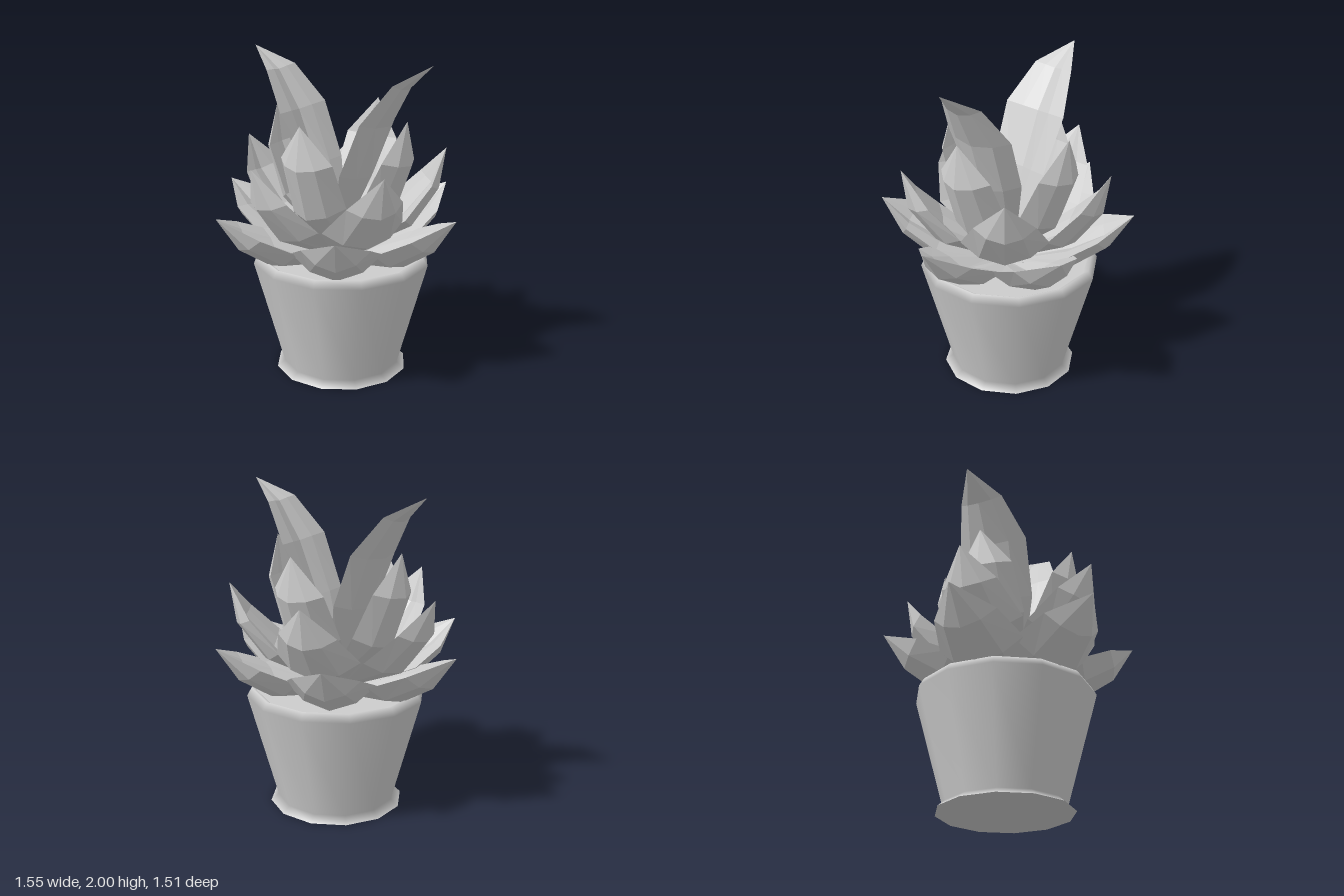
import * as THREE from 'three';

// Leaf cross-section: [across, normal], edge - keel - edge - folded groove
const SECTION = [[-1, 0.15], [-0.58, -0.62], [0, -1], [0.58, -0.62], [1, 0.15],
  [0.45, 0], [0, -0.3], [-0.45, 0]];

// Each station is [radius, height, half width, thickness] from root to tip;
// each leaf is [angle in degrees, reach factor]
const TIERS = [
  {
    name: 'outerLeaf', leaves: [[-17, 1.02], [-74, 1], [227, 1.08], [167, 1.01], [104, 0.985], [42, 1]],
    stations: [[0.06, 0.75, 0.1, 0.04], [0.4, 0.88, 0.27, 0.14], [0.6, 0.98, 0.2, 0.11], [0.79, 1.1, 0, 0]],
  },
  {
    name: 'middleLeaf', leaves: [[6, 1.01], [79, 0.97], [154, 0.97], [228, 1.07], [298, 1.01]],
    stations: [[0.04, 0.8, 0.1, 0.05], [0.38, 1.03, 0.262, 0.12], [0.55, 1.22, 0.18, 0.09], [0.66, 1.42, 0, 0]],
  },
  {
    name: 'innerLeaf', leaves: [[42, 1], [135, 0.9], [227, 1], [315, 1.02]],
    stations: [[0.03, 0.85, 0.1, 0.05], [0.27, 1.14, 0.2, 0.13], [0.4, 1.43, 0.18, 0.1], [0.46, 1.66, 0, 0]],
  },
  {
    name: 'tallLeaf', leaves: [[41, 0.99], [228, 1.02]],
    stations: [[0.01, 0.95, 0.09, 0.05], [0.13, 1.32, 0.2, 0.1], [0.27, 1.65, 0.225, 0.08],
      [0.43, 1.88, 0.14, 0.05], [0.62, 2, 0, 0]],
  },
];

// Faceted leaf lofted along a rising path that points to +x
function leafGeometry(stations) {
  const positions = [], index = [], n = SECTION.length;
  stations.forEach(([r, y, w, d], i) => {
    const a = stations[Math.max(i - 1, 0)];
    const b = stations[Math.min(i + 1, stations.length - 1)];
    const len = Math.hypot(b[0] - a[0], b[1] - a[1]);
    const nx = -(b[1] - a[1]) / len, ny = (b[0] - a[0]) / len;
    for (const [u, v] of SECTION) positions.push(r + nx * v * d, y + ny * v * d, u * w);
    if (i === 0) return;
    for (let j = 0; j < n; j++) {
      const k = (j + 1) % n, lo = (i - 1) * n, hi = i * n;
      index.push(lo + j, hi + k, lo + k);
      if (i < stations.length - 1) index.push(lo + j, hi + j, hi + k);
    }
  });
  const g = new THREE.BufferGeometry();
  g.setAttribute('position', new THREE.Float32BufferAttribute(positions, 3));
  g.setIndex(index);
  const flat = g.toNonIndexed();
  flat.computeVertexNormals();
  return flat;
}

export function createModel() {
  const model = new THREE.Group();
  model.name = 'pottedSucculent';
  const grey = new THREE.MeshStandardMaterial({ color: 0xcccccc });
  const leafMaterial = new THREE.MeshStandardMaterial({
    color: 0xcccccc, flatShading: true, side: THREE.DoubleSide,
  });

  // Pot wall with flared foot and softly bevelled rim
  const pot = new THREE.Group();
  pot.name = 'pot';
  pot.position.set(0.025, 0, -0.025);
  const profile = [[0.418, 0], [0.37, 0.04], [0.555, 0.72], [0.525, 0.77], [0.49, 0.75]]
    .map(([r, y]) => new THREE.Vector2(r, y));
  const wall = new THREE.Mesh(new THREE.LatheGeometry(profile, 12), grey);
  wall.name = 'potWall';
  pot.add(wall);

  // Flat discs: underside of the pot and soil in its mouth
  for (const [name, radius, y, facing] of [['potBase', 0.418, 0, 1], ['soil', 0.5, 0.753, -1]]) {
    const disc = new THREE.Mesh(new THREE.CircleGeometry(radius, 12), grey);
    disc.name = name;
    disc.rotation.x = facing * Math.PI / 2;
    disc.position.y = y;
    pot.add(disc);
  }
  model.add(pot);

  // Rosette: tiers of leaves, steeper toward the middle
  const rosette = new THREE.Group();
  rosette.name = 'rosette';
  for (const { name, leaves, stations } of TIERS) {
    for (const [angle, reach] of leaves) {
      const path = stations.map(([r, y, w, d]) => [r * reach, y, w, d]);
      const leaf = new THREE.Mesh(leafGeometry(path), leafMaterial);
      leaf.name = name;
      leaf.rotation.y = -THREE.MathUtils.degToRad(angle);
      rosette.add(leaf);
    }
  }
  model.add(rosette);
  return model;
}
